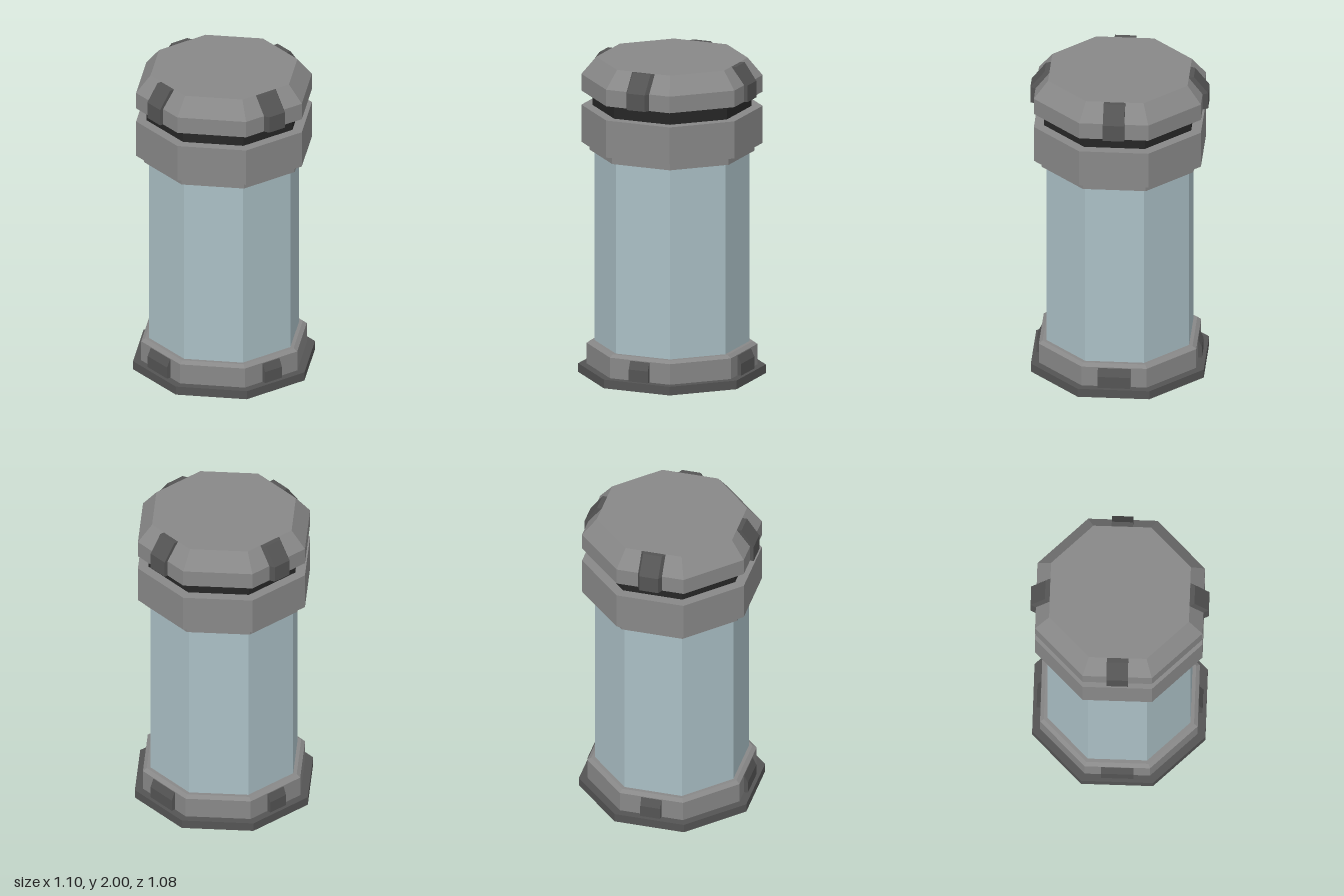
import * as THREE from 'three';

const mat = (name, color) => {
  const m = new THREE.MeshStandardMaterial({ color, flatShading: true });
  m.name = name;
  return m;
};

export function createModel() {
  const group = new THREE.Group();
  const grey = mat('grey metal', 0x888888);
  const dark = mat('dark metal', 0x545454);
  const black = mat('black rubber', 0x262626);
  const glass = mat('pale blue glass', 0xaabfc5);

  // Octagonal section with a flat side to the front, sized by its flat-to-centre distance
  const k = 1 / Math.cos(Math.PI / 8);
  function octagon(name, y0, y1, bottom, top, material) {
    const geo = new THREE.CylinderGeometry(top * k, bottom * k, y1 - y0, 8);
    geo.rotateY(Math.PI / 8);
    const mesh = new THREE.Mesh(geo, material);
    mesh.position.y = (y0 + y1) / 2;
    mesh.name = name;
    group.add(mesh);
  }

  octagon('baseSlab', 0, 0.055, 0.533, 0.533, dark);
  octagon('baseRing', 0.055, 0.185, 0.485, 0.485, grey);
  octagon('baseRingBevel', 0.185, 0.203, 0.485, 0.462, grey);
  octagon('glassBody', 0.203, 1.41, 0.44, 0.44, glass);
  octagon('lowerCollar', 1.41, 1.46, 0.468, 0.468, grey);
  octagon('collar', 1.46, 1.695, 0.515, 0.515, grey);
  octagon('neck', 1.695, 1.785, 0.453, 0.453, black);
  octagon('capRim', 1.785, 1.89, 0.515, 0.515, grey);
  octagon('capTop', 1.89, 2, 0.515, 0.43, grey);

  // Clip: radial profile extruded sideways, its outer points optionally narrower
  function clip(name, inner, outer, innerHalf, outerHalf, angle) {
    const shape = new THREE.Shape([...outer, ...inner].map(([r, y]) => new THREE.Vector2(r, y)));
    const geo = new THREE.ExtrudeGeometry(shape, { depth: 2, bevelEnabled: false });
    const p = geo.attributes.position;
    for (let i = 0; i < p.count; i++) {
      const isOuter = outer.some(([r, y]) => Math.hypot(p.getX(i) - r, p.getY(i) - y) < 1e-4);
      p.setZ(i, (p.getZ(i) - 1) * (isOuter ? outerHalf : innerHalf));
    }
    geo.computeVertexNormals();
    const mesh = new THREE.Mesh(geo, dark);
    mesh.rotation.y = angle;
    mesh.name = name;
    group.add(mesh);
  }

  const capInner = [[0.428, 1.999], [0.513, 1.889], [0.513, 1.785]];
  const baseInner = [[0.48, 0.18], [0.48, 0.055]];
  for (let i = 0; i < 4; i++) {
    const angle = i * Math.PI / 2;
    const side = i % 2 === 0; // the left and right clips
    const r = side ? 0.548 : 0.538;
    clip('capClip', capInner, [[r, 1.785], [r, 1.89], [0.46, 2]], side ? 0.077 : 0.066, side ? 0.06 : 0.066, angle);
    const w = side ? 0.064 : 0.1;
    clip('baseClip', baseInner, [[0.51, 0.055], [0.51, 0.13], [0.487, 0.18]], w, w, angle);
  }
  return group;
}
